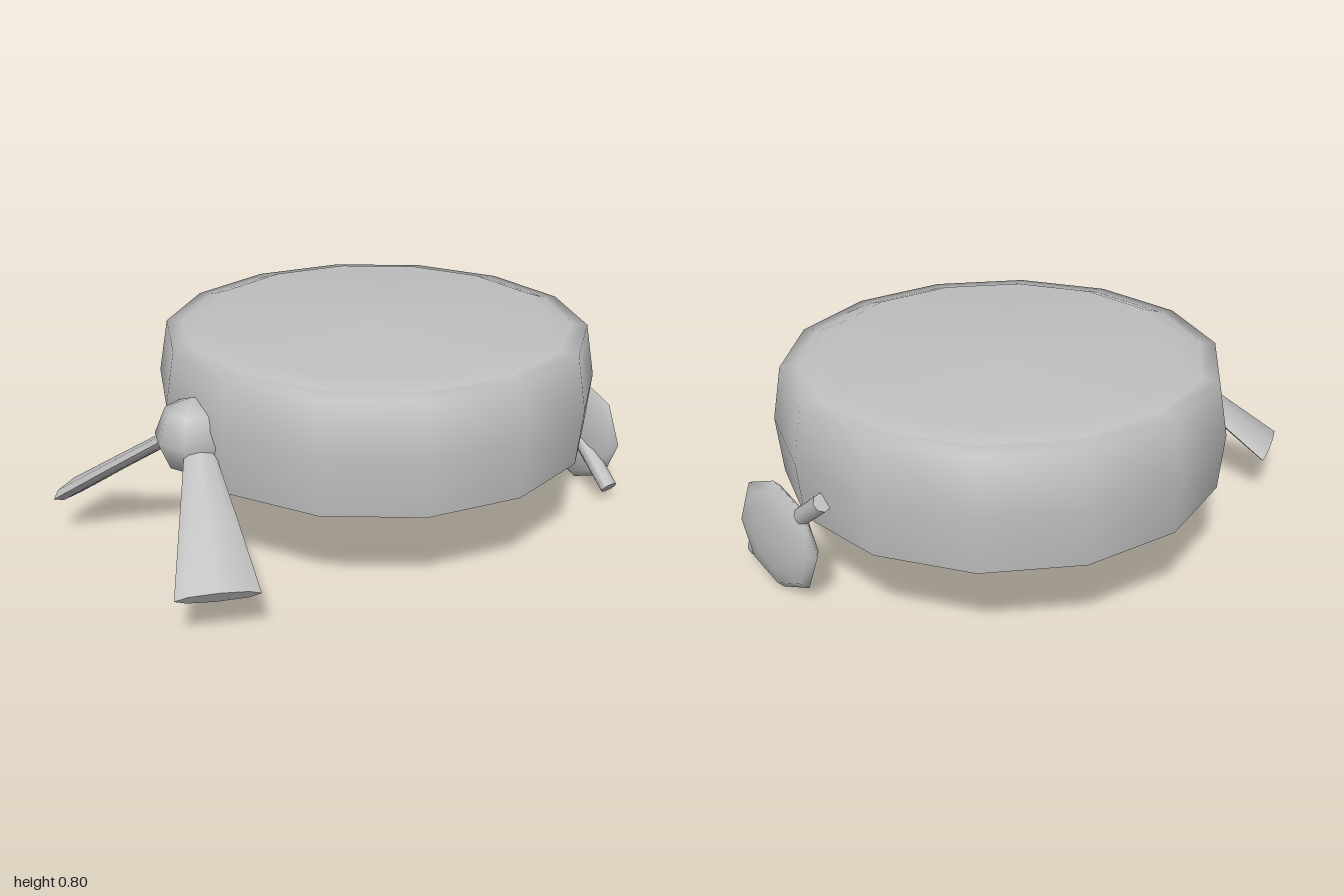
import * as THREE from 'three';
import { toCreasedNormals } from 'three/addons/utils/BufferGeometryUtils.js';

const SIDES = 14;

// Lathed ring of the cap, with a corner pointing to +x
function lathe(points) {
  return new THREE.LatheGeometry(points.map(([r, y]) => new THREE.Vector2(r, y)), SIDES, Math.PI / 2);
}

// Flattened ribbon that widens from the knot to its free end
function ribbonGeometry(side) {
  const v = (x, y, z) => new THREE.Vector3(side * x, y, z);
  const sections = [
    { c: v(0.1, 0.47, 0.68), w: v(-0.02, 0, 0.05), t: 0.025 },
    { c: v(0.3, 0.325, 0.772), w: v(-0.04, 0, 0.088), t: 0.027 },
    { c: v(0.5, 0.178, 0.865), w: v(-0.06, 0, 0.125), t: 0.03 },
  ];
  const n = 8;
  const along = sections[2].c.clone().sub(sections[0].c);
  const pos = [];
  const index = [];
  for (const { c, w, t } of sections) {
    const thick = along.clone().cross(w).normalize().multiplyScalar(t);
    for (let j = 0; j < n; j++) {
      const a = (j / n) * Math.PI * 2;
      const p = c.clone().addScaledVector(w, Math.cos(a)).addScaledVector(thick, Math.sin(a));
      pos.push(p.x, p.y, p.z);
    }
  }
  for (let i = 0; i < sections.length - 1; i++) {
    for (let j = 0; j < n; j++) {
      const a = i * n + j, b = i * n + (j + 1) % n;
      index.push(a, b, b + n, a, b + n, a + n);
    }
  }
  // end caps
  const last = (sections.length - 1) * n;
  for (let j = 1; j < n - 1; j++) {
    index.push(0, j + 1, j, last, last + j, last + j + 1);
  }
  const g = new THREE.BufferGeometry();
  g.setAttribute('position', new THREE.Float32BufferAttribute(pos, 3));
  g.setIndex(index);
  return toCreasedNormals(g, Math.PI / 3);
}

export function createModel() {
  const group = new THREE.Group();
  const grey = new THREE.MeshStandardMaterial({ color: 0xbfbfbf });
  grey.name = 'plain grey';

  function add(name, geometry, parent = group) {
    const mesh = new THREE.Mesh(geometry, grey);
    mesh.name = name;
    parent.add(mesh);
    return mesh;
  }

  // Cap: bulging band, domed lid and hollow inside
  const cap = new THREE.Group();
  cap.name = 'cap';
  cap.position.z = -0.15;
  group.add(cap);
  add('band', lathe([[0.795, 0.34], [0.815, 0.55], [0.78, 0.745], [0.717, 0.752]]), cap);
  add('lid', lathe([[0.717, 0.752], [0.645, 0.778], [0.1, 0.808], [0, 0.809]]), cap);
  add('lining', lathe([[0.69, 0.745], [0.69, 0.36], [0.7, 0.34], [0.795, 0.34]]), cap);
  add('ceiling', lathe([[0, 0.77], [0.69, 0.745]]), cap);

  // Front bow: round knot and two ribbon tails
  const knot = add('knot', new THREE.SphereGeometry(0.14, 8, 4));
  knot.position.set(0, 0.5, 0.64);
  for (const side of [1, -1]) {
    add(side > 0 ? 'leftRibbon' : 'rightRibbon', ribbonGeometry(side));
  }

  // Lens-shaped disc hanging at the back, crossed by a rod
  const disc = new THREE.SphereGeometry(1, 8, 6);
  disc.rotateX(Math.PI / 2);
  disc.scale(0.215, 0.215, 0.053);
  add('backDisc', disc).position.set(0.315, 0.22, -0.945);

  const from = new THREE.Vector3(0.04, 0.46, -0.95);
  const to = new THREE.Vector3(0.54, 0.055, -0.9);
  const dir = to.clone().sub(from);
  const rod = add('rod', toCreasedNormals(new THREE.CylinderGeometry(0.033, 0.033, dir.length(), 8), Math.PI / 3));
  rod.position.copy(from).add(to).multiplyScalar(0.5);
  rod.quaternion.setFromUnitVectors(new THREE.Vector3(0, 1, 0), dir.normalize());

  return group;
}
